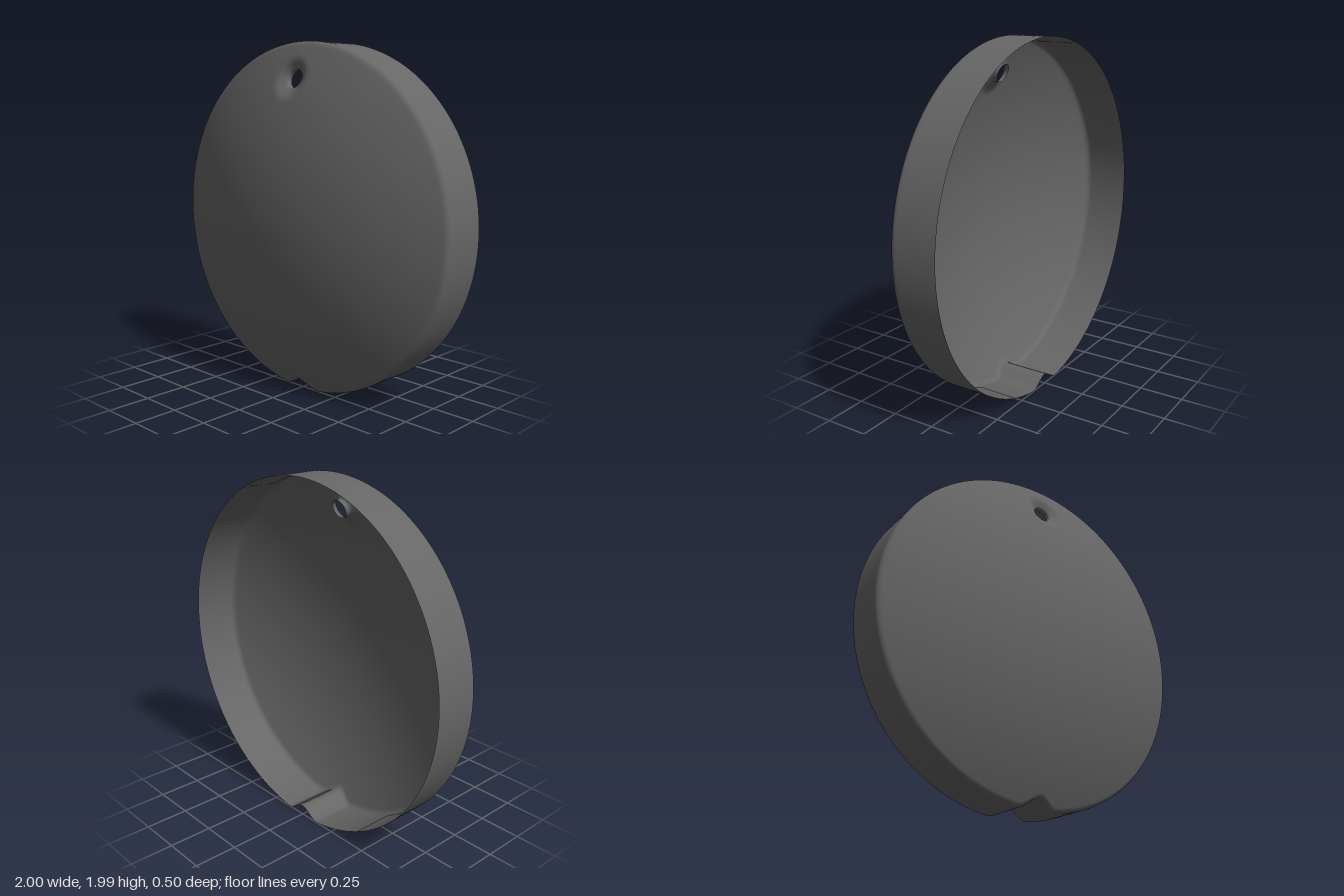
import * as THREE from 'three';

const SEG = 360;        // points around each ring
const CY = 0.992;       // height of the disc centre
const HOLE_Y = 1.787;   // height of the hole centre
const DOME_R = 2.245;   // radius of the spherical front
const FILLET = 0.025;

const domeZ = (x, y) => {
  const r2 = x * x + (y - CY) ** 2;
  return 0.25 - (DOME_R - Math.sqrt(DOME_R * DOME_R - r2));
};

// Outline: a unit circle with a smooth notch at the bottom, denser near the notch
function outline(j, inset) {
  const u = (j / SEG) * Math.PI * 2 - Math.PI;
  const a = u - 0.5 * Math.sin(u);
  const x = Math.sin(a);
  const inNotch = Math.abs(a) < 1 && Math.abs(x) < 0.13;
  const notch = inNotch ? 0.0315 * (1 + Math.cos((Math.PI * x) / 0.13)) : 0;
  const r = 1 - notch - inset;
  return [r * x, CY - r * Math.cos(a)];
}

// Point at distance d from the hole centre, towards outline point j
function aroundHole(j, d) {
  const [x, y] = outline(j, FILLET);
  const len = Math.hypot(x, y - HOLE_Y);
  return [(x * d) / len, HOLE_Y + ((y - HOLE_Y) * d) / len];
}

// Skin between closed rings, each given as a function of the point index
function loft(rings) {
  const pos = [], idx = [];
  rings.forEach((ring, i) => {
    for (let j = 0; j < SEG; j++) {
      pos.push(...ring(j));
      if (i === 0) continue;
      const k = (j + 1) % SEG;
      const a = (i - 1) * SEG + j, b = i * SEG + j;
      const c = i * SEG + k, d = (i - 1) * SEG + k;
      idx.push(a, b, c, a, c, d);
    }
  });
  const g = new THREE.BufferGeometry();
  g.setAttribute('position', new THREE.Float32BufferAttribute(pos, 3));
  g.setIndex(idx);
  g.computeVertexNormals();
  return g;
}

export function createModel() {
  const group = new THREE.Group();
  const grey = new THREE.MeshStandardMaterial({ color: 0x666666, side: THREE.DoubleSide });
  grey.name = 'dark grey';

  const add = (name, rings) => {
    const mesh = new THREE.Mesh(loft(rings), grey);
    mesh.name = name;
    group.add(mesh);
  };

  const face = [];
  // Hole collar and dimple: distance from the hole centre, depth below the dome
  const dimple = [
    [0.05, 0.066], [0.05, 0.055], [0.05, 0.042], [0.052, 0.036], [0.056, 0.031],
    [0.064, 0.026], [0.075, 0.02], [0.088, 0.012], [0.1, 0.006], [0.115, 0.0015], [0.13, 0],
  ];
  for (const [d, depth] of dimple) {
    face.push((j) => {
      const [x, y] = aroundHole(j, d);
      return [x, y, domeZ(x, y) - depth];
    });
  }
  // Dome, from the dimple out to the start of the rounded edge
  const STEPS = 24;
  for (let i = 1; i <= STEPS; i++) {
    const t = i / STEPS;
    face.push((j) => {
      const p = aroundHole(j, 0.13), q = outline(j, FILLET);
      const x = p[0] + (q[0] - p[0]) * t, y = p[1] + (q[1] - p[1]) * t;
      return [x, y, domeZ(x, y)];
    });
  }
  // Rounded edge: a quadratic curve turning into the side wall
  const edge = (t, drop = 0) => (j) => {
    const s = 1 - t;
    const [x, y] = outline(j, FILLET * s * s);
    const start = domeZ(...outline(j, FILLET)), corner = domeZ(...outline(j, 0));
    return [x, y, s * s * start + 2 * s * t * corner + t * t * (corner - FILLET) - drop];
  };
  for (let i = 1; i <= 6; i++) face.push(edge(i / 6));
  face.push(edge(1, 0.01));
  add('domedFace', face);

  // Straight side wall, open at the back
  add('rimWall', [
    edge(1, 0.01),
    (j) => [...outline(j, 0), -0.13],
    (j) => [...outline(j, 0), -0.25],
  ]);

  return group;
}
